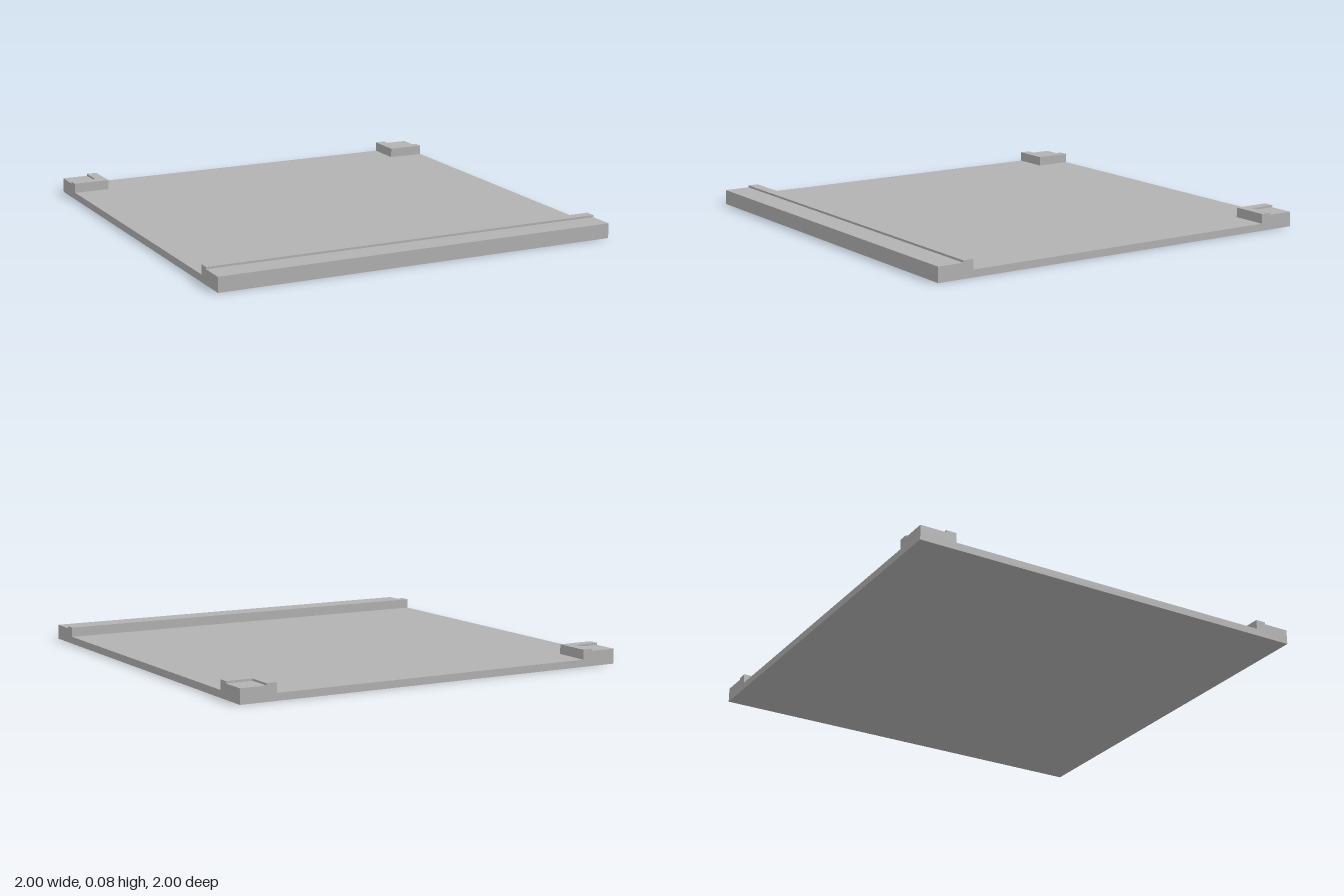
import * as THREE from 'three';

const FLOOR = 0.035, LEDGE = 0.072, RIDGE = 0.082; // heights
const INNER = 0.82, STEP = 0.872;                  // distances from the centre

const shapeOf = (points) => new THREE.Shape(points.map(([x, y]) => new THREE.Vector2(x, y)));

export function createModel() {
  const model = new THREE.Group();
  model.name = 'tray';
  const grey = new THREE.MeshStandardMaterial({ color: 0xb2b2b2 });
  grey.name = 'grey';

  const add = (name, geometry, parent) => {
    const mesh = new THREE.Mesh(geometry, grey);
    mesh.name = name;
    parent.add(mesh);
  };

  // Base plate and stepped front rail: one side profile (z, y) swept across x
  const profile = shapeOf([
    [-1, 0], [1, 0], [1, LEDGE], [STEP, LEDGE], [STEP, RIDGE],
    [INNER, RIDGE], [INNER, FLOOR], [-1, FLOOR],
  ]);
  const plate = new THREE.ExtrudeGeometry(profile, { depth: 2, bevelEnabled: false });
  plate.rotateY(-Math.PI / 2).translate(1, 0, 0);
  add('plateWithFrontRail', plate, model);

  // Stepped back corner blocks: a raised L round a lower outer square
  for (const side of [1, -1]) {
    const corner = new THREE.Group();
    corner.name = side > 0 ? 'leftBackCorner' : 'rightBackCorner';
    model.add(corner);

    const outline = shapeOf([
      [INNER, INNER], [1, INNER], [1, STEP], [STEP, STEP], [STEP, 1], [INNER, 1],
    ].map(([x, y]) => [x * side, y]));
    const ridge = new THREE.ExtrudeGeometry(outline, { depth: RIDGE - FLOOR, bevelEnabled: false });
    ridge.rotateX(-Math.PI / 2).translate(0, FLOOR, 0);
    add('cornerRidge', ridge, corner);

    const size = 1 - STEP;
    const ledge = new THREE.BoxGeometry(size, LEDGE - FLOOR, size);
    ledge.translate(side * (1 - size / 2), (LEDGE + FLOOR) / 2, -(1 - size / 2));
    add('cornerLedge', ledge, corner);
  }
  return model;
}
